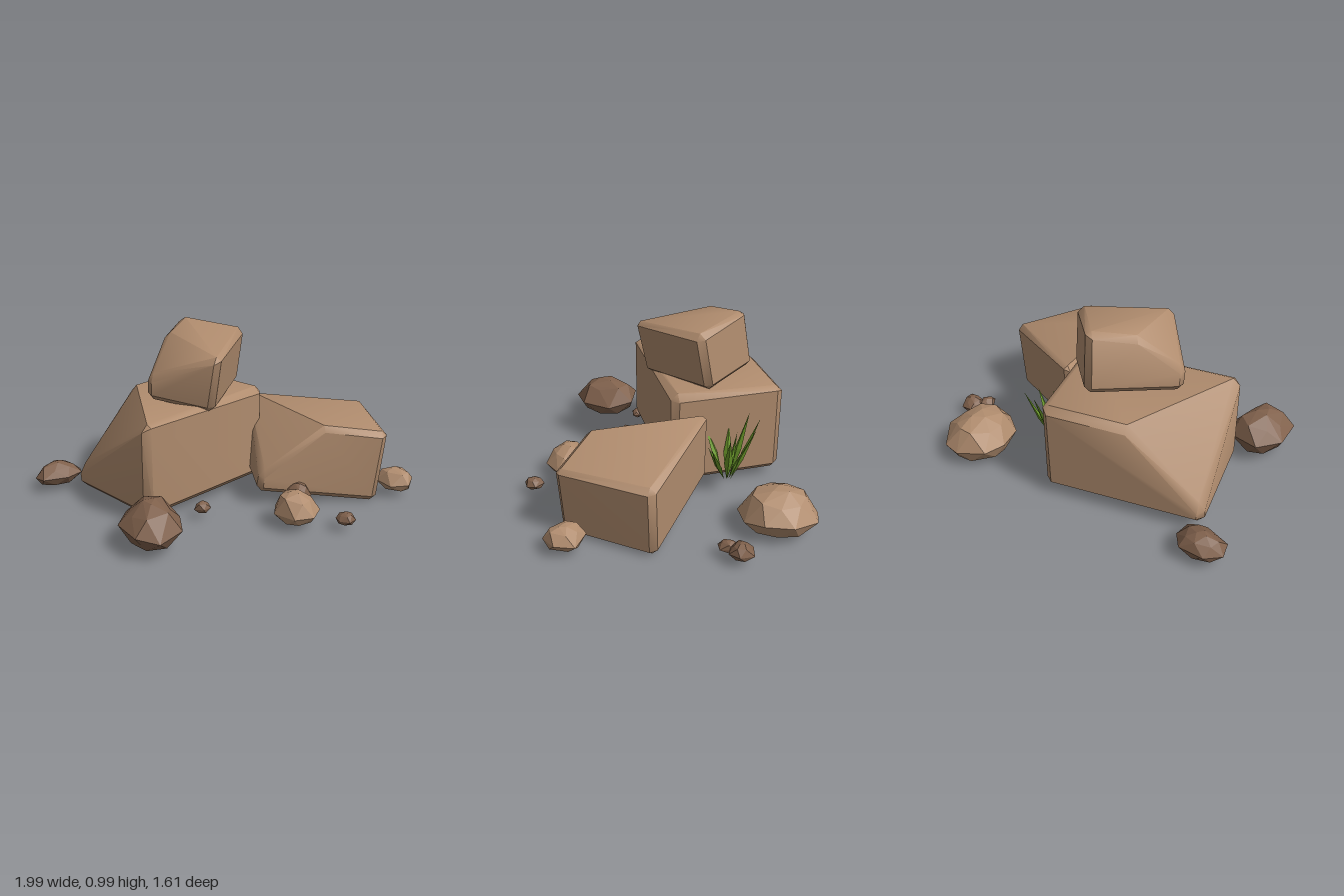
import * as THREE from 'three';
import { ConvexGeometry } from 'three/addons/geometries/ConvexGeometry.js';
import { toCreasedNormals } from 'three/addons/utils/BufferGeometryUtils.js';

const V = (x, y, z) => new THREE.Vector3(x, y, z);

// Chamfered block: four base corners, four top corners (same order round),
// and the middle of the top edge that breaks towards the sunken corner.
function blockGeometry(base, top, mid, bevel) {
  const b = base.map((p) => V(...p));
  const t = top.map((p) => V(...p));
  const points = [];
  const toward = (from, to) => to.clone().sub(from).normalize().multiplyScalar(bevel);
  for (const [ring, other] of [[b, t], [t, b]]) {
    for (let i = 0; i < 4; i++) {
      const c = ring[i];
      const e = [toward(c, ring[(i + 1) % 4]), toward(c, ring[(i + 3) % 4]), toward(c, other[i])];
      for (let k = 0; k < 3; k++) points.push(c.clone().add(e[k]).add(e[(k + 1) % 3]));
    }
  }
  const m = V(...mid);
  const centre = t.reduce((s, p) => s.add(p), V(0, 0, 0)).multiplyScalar(0.25);
  const inward = toward(m, V(centre.x, m.y, centre.z));
  points.push(m.clone().add(inward), m.clone().add(V(0, -bevel, 0)));
  return toCreasedNormals(new ConvexGeometry(points), 0.7);
}

// Faceted stone made of jittered rings, widest a third of the way up
function stoneGeometry(rx, rz, height, sides, seed) {
  let s = seed * 7919 + 13;
  const rand = () => (s = (s * 16807) % 2147483647) / 2147483647;
  rand(); rand();
  const points = [];
  const rings = [[0, 0.74], [0.36, 1], [0.78, 0.66], [1, 0.22]];
  rings.forEach(([h, r], j) => {
    const n = j === 3 ? 3 : sides;
    for (let i = 0; i < n; i++) {
      const a = ((i + 0.5 * (j % 2) + 0.35 * rand()) / n) * Math.PI * 2;
      const k = r * (0.92 + 0.14 * rand());
      const y = j === 0 || j === 3 ? h : h + (rand() - 0.5) * 0.2;
      points.push(V(Math.cos(a) * k * rx, y * height, Math.sin(a) * k * rz));
    }
  });
  return new ConvexGeometry(points);
}

// Leaf blade: pointed at both ends, widest below the middle
function bladeGeometry(root, tip, width) {
  const axis = tip.clone().sub(root);
  const side = V(axis.z, 0, -axis.x).normalize();
  const out = side.clone().cross(axis).normalize();
  const belly = root.clone().addScaledVector(axis, 0.45);
  return new ConvexGeometry([
    root, tip,
    belly.clone().addScaledVector(side, width),
    belly.clone().addScaledVector(side, -width),
    belly.clone().addScaledVector(out, width * 0.5),
    belly.clone().addScaledVector(out, -width * 0.5),
  ]);
}

export function createModel() {
  const model = new THREE.Group();
  const material = (name, color) => {
    const m = new THREE.MeshStandardMaterial({ color });
    m.name = name;
    return m;
  };
  const stone = material('sandstone', 0xb08c6e);
  const dark = material('darkStone', 0x80614c);
  const green = material('grassGreen', 0x6c9a2a);
  const add = (parent, name, geometry, mat) => {
    const mesh = new THREE.Mesh(geometry, mat);
    mesh.name = name;
    parent.add(mesh);
    return mesh;
  };

  // Large blocks
  add(model, 'largeBlock', blockGeometry(
    [[-0.66, 0.05, 0.14], [0.245, 0.05, -0.05], [0.11, 0.05, -0.7], [-0.79, 0.05, -0.51]],
    [[-0.66, 0.615, 0.14], [0.245, 0.615, -0.05], [0.11, 0.615, -0.7], [-0.79, 0.15, -0.51]],
    [-0.36, 0.59, -0.6], 0.04), stone);
  add(model, 'leaningBlock', blockGeometry(
    [[0.61, 0, 0.58], [0.87, 0, 0.08], [0.23, 0.1, -0.25], [-0.01, 0.09, 0.24]],
    [[0.66, 0.44, 0.6], [0.915, 0.44, 0.09], [0.27, 0.54, -0.25], [0, 0.2, 0.26]],
    [0.33, 0.48, 0.43], 0.033), stone);
  add(model, 'topBlock', blockGeometry(
    [[-0.21, 0.56, 0.09], [0.19, 0.61, -0.26], [-0.08, 0.66, -0.55], [-0.48, 0.62, -0.19]],
    [[-0.2, 0.905, 0.16], [0.205, 0.955, -0.2], [-0.06, 1.02, -0.49], [-0.48, 0.75, -0.18]],
    [-0.27, 0.96, -0.33], 0.035), stone);

  // Scattered stones: name, x, z, x radius, z radius, height, turn, sides, material
  const stones = [
    ['largeStone', 0.65, -0.6, 0.205, 0.225, 0.215, 0, 9, stone],
    ['frontStone', 0.03, 0.555, 0.13, 0.135, 0.16, 0, 7, stone],
    ['rightStone', 0.78, 0.55, 0.1, 0.12, 0.12, 0.3, 6, stone],
    ['leftStone', -0.74, 0.32, 0.165, 0.21, 0.215, -0.25, 7, dark],
    ['backStone', -0.855, -0.65, 0.15, 0.105, 0.12, -0.1, 7, dark],
    ['pebble', 0.225, 0.75, 0.055, 0.06, 0.06, 0, 6, dark],
    ['pebble', -0.35, 0.2, 0.05, 0.05, 0.06, 0, 5, dark],
    ['pebble', 0.19, 0.37, 0.075, 0.075, 0.1, 0, 6, dark],
    ['pebble', 0.93, -0.36, 0.07, 0.07, 0.08, 0.5, 6, dark],
    ['pebble', 0.87, -0.3, 0.045, 0.06, 0.055, 0, 5, dark],
    ['pebble', -0.6, 0.13, 0.045, 0.04, 0.045, 0, 5, dark],
  ];
  stones.forEach(([name, x, z, rx, rz, h, turn, sides, mat], i) => {
    const mesh = add(model, name, stoneGeometry(rx, rz, h, sides, i + 3), mat);
    mesh.position.set(x, 0.05, z);
    mesh.rotation.y = turn;
  });

  // Grass tuft fanning out from one root
  const tuft = new THREE.Group();
  tuft.name = 'grassTuft';
  model.add(tuft);
  const tips = [
    [0.18, 0.4, -0.24], [0.28, 0.31, -0.25], [0.36, 0.34, -0.26], [0.39, 0.41, -0.36],
    [0.38, 0.47, -0.5], [0.28, 0.49, -0.54], [0.2, 0.485, -0.49], [0.17, 0.39, -0.38],
    [0.29, 0.41, -0.41], [0.33, 0.31, -0.44],
  ];
  for (const [x, y, z] of tips) {
    const root = V(0.275 + (x - 0.275) * 0.15, 0.1, -0.36 + (z + 0.36) * 0.15);
    add(tuft, 'grassBlade', bladeGeometry(root, V(x, y, z), 0.025), green);
  }
  return model;
}
